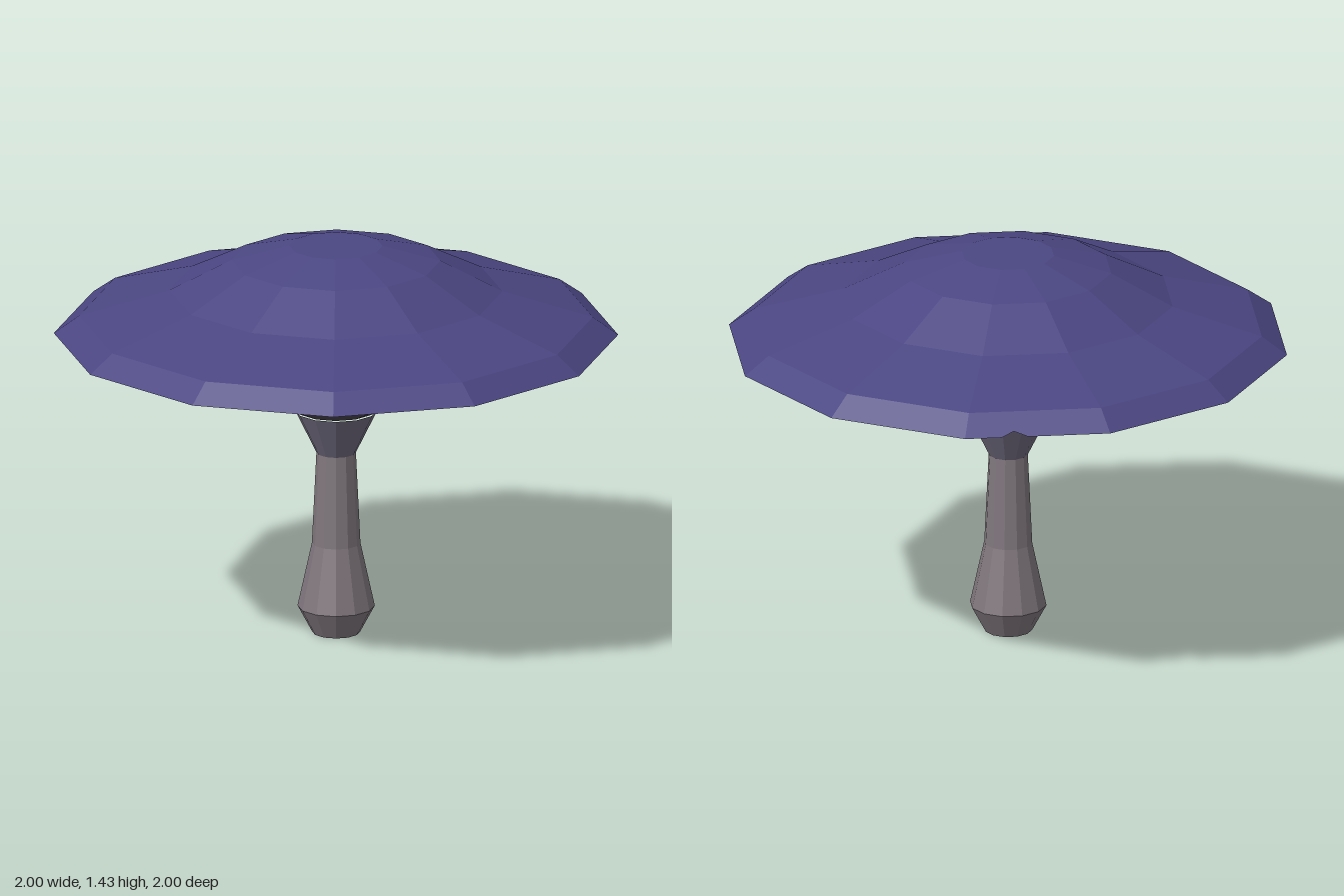
import * as THREE from 'three';

const SIDES = 12;
const STEP = (Math.PI * 2) / SIDES;
const deg = THREE.MathUtils.degToRad;

// Angles measured from +z towards +x; the cap has extra columns around a small nick at the back.
const plainAngles = Array.from({ length: SIDES }, (_, i) => i * STEP);
const NICK = deg(160);
const capAngles = [...plainAngles, deg(157.5), NICK, deg(163)].sort((a, b) => a - b);

// Sweeps a [radius, height] profile (listed bottom to top) around y as a 12-sided form.
function facetedSweep(profile, angles, adjust = (r, y) => [r, y]) {
  const positions = [];
  const index = [];
  const n = angles.length;
  for (const [radius, height] of profile) {
    for (const a of angles) {
      // Extra columns lie on the straight side between two corners.
      const local = (a % STEP) - STEP / 2;
      const chord = radius * Math.cos(STEP / 2) / Math.cos(local);
      const [r, y] = adjust(chord, height, a);
      positions.push(Math.sin(a) * r, y, Math.cos(a) * r);
    }
  }
  for (let j = 0; j < profile.length - 1; j++) {
    for (let i = 0; i < n; i++) {
      const a = j * n + i;
      const b = j * n + ((i + 1) % n);
      index.push(a, b, b + n, a, b + n, a + n);
    }
  }
  const geometry = new THREE.BufferGeometry();
  geometry.setAttribute('position', new THREE.Float32BufferAttribute(positions, 3));
  geometry.setIndex(index);
  geometry.computeVertexNormals();
  return geometry;
}

// Pulls the rim in and up at the nick.
function nickRim(r, y, a) {
  return a === NICK && r > 0.8 && y < 1.15 ? [r - 0.02, y + 0.015] : [r, y];
}

function part(name, geometry, color) {
  const material = new THREE.MeshStandardMaterial({ color, flatShading: true });
  const mesh = new THREE.Mesh(geometry, material);
  mesh.name = name;
  return mesh;
}

export function createModel() {
  const model = new THREE.Group();
  model.name = 'mushroom';

  // Cap: domed top with a bevelled rim
  const capProfile = [[1, 1.1], [0.91, 1.165], [0.59, 1.26], [0.37, 1.373], [0.165, 1.427], [0, 1.427]];
  model.add(part('capTop', facetedSweep(capProfile, capAngles, nickRim), 0x4b4682));

  // Underside: shallow outer ring and steeper inner funnel
  model.add(part('capUndersideRim', facetedSweep([[0.6, 1.035], [1, 1.1]], capAngles, nickRim), 0x3a3650));
  model.add(part('capUndersideFunnel', facetedSweep([[0.14, 0.82], [0.6, 1.035]], capAngles), 0x4a4550));

  // Stem: bulbous foot, slim waist and flared collar under the cap
  const stem = new THREE.Group();
  stem.name = 'stem';
  stem.position.set(-0.005, 0, 0.01);
  const footProfile = [[0, 0], [0.085, 0], [0.137, 0.097], [0.086, 0.33], [0.07, 0.665]];
  stem.add(part('stemShaft', facetedSweep(footProfile, plainAngles), 0x7f767c));
  stem.add(part('stemCollar', facetedSweep([[0.07, 0.665], [0.147, 0.822]], plainAngles), 0x6e697c));
  model.add(stem);

  return model;
}
